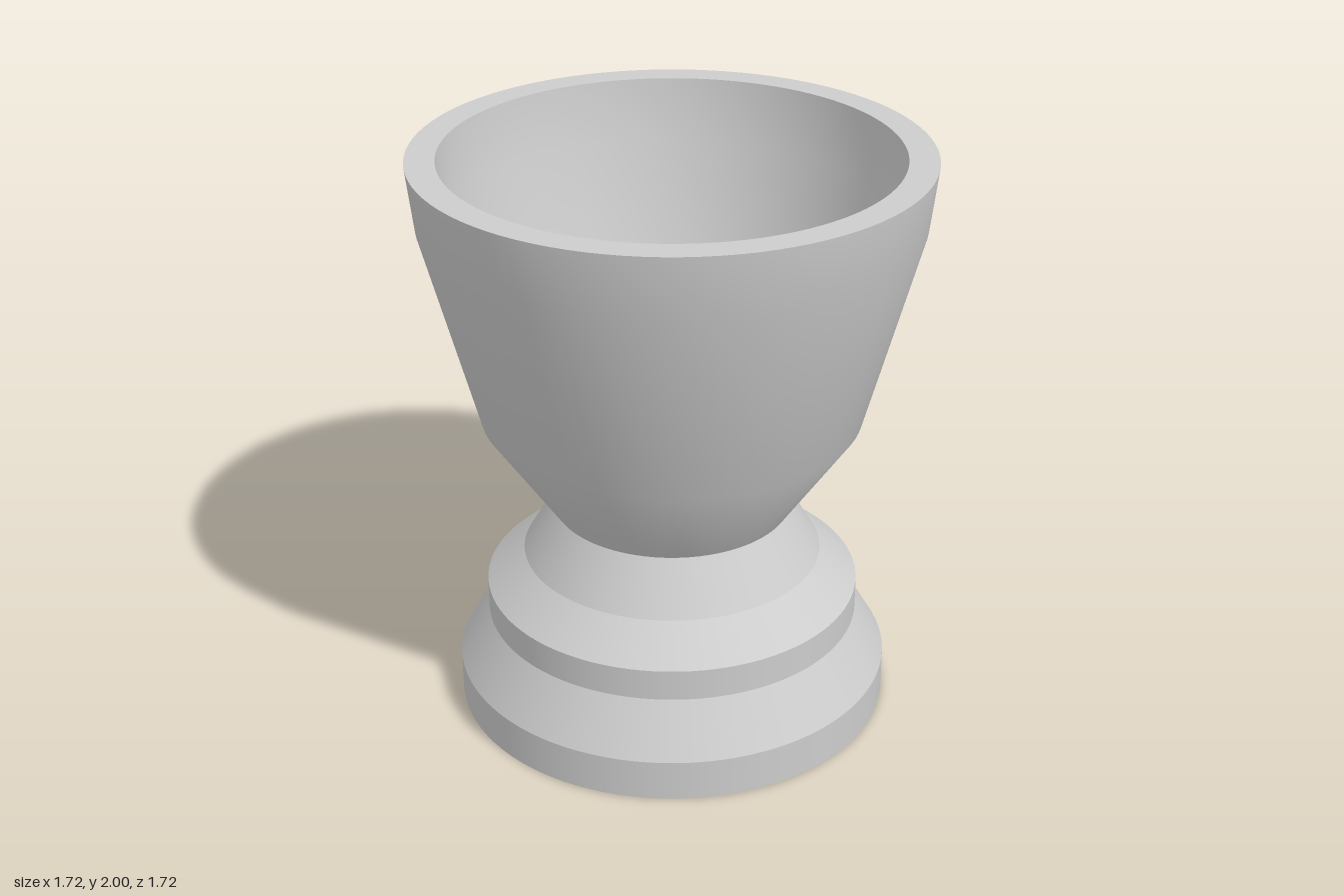
import * as THREE from 'three';
import { mergeGeometries } from 'three/addons/utils/BufferGeometryUtils.js';

const SEGMENTS = 96;
const lathe = (points) =>
  new THREE.LatheGeometry(points.map(([r, y]) => new THREE.Vector2(r, y)), SEGMENTS);

// One lathe per band, so every ring edge stays crisp
const bands = (points) =>
  mergeGeometries(points.slice(1).map((p, i) => lathe([points[i], p])));

export function createModel() {
  const model = new THREE.Group();
  model.name = 'eggCup';
  const grey = new THREE.MeshStandardMaterial({ color: 0xcccccc });
  grey.name = 'plainGrey';

  const add = (name, geometry) => {
    const mesh = new THREE.Mesh(geometry, grey);
    mesh.name = name;
    model.add(mesh);
  };

  const bore = 0.008, wall = 0.1, floorY = 0.74;
  const bowl = [[0.415, 0.73], [0.652, 1.08], [0.837, 1.78], [0.862, 2]];

  // Stepped foot, from the centre of the underside up to the waist
  add('foot', bands([
    [bore, 0], [0.758, 0], [0.758, 0.145], [0.652, 0.325],
    [0.652, 0.436], [0.52, 0.55], [0.415, 0.73],
  ]));

  // Smooth outer and inner walls, with an even wall thickness
  add('bowlOutside', lathe(bowl));
  add('bowlInside', lathe(
    bowl.map(([r, y], i) => [r - wall, i === 0 ? floorY : y]).reverse()));

  // Flat rim, bowl floor and the pinhole through the axis
  add('rim', lathe([[0.862, 2], [0.762, 2]]));
  add('bowlFloor', lathe([[0.315, floorY], [bore, floorY]]));
  add('pinhole', lathe([[bore, floorY], [bore, 0]]));

  return model;
}
